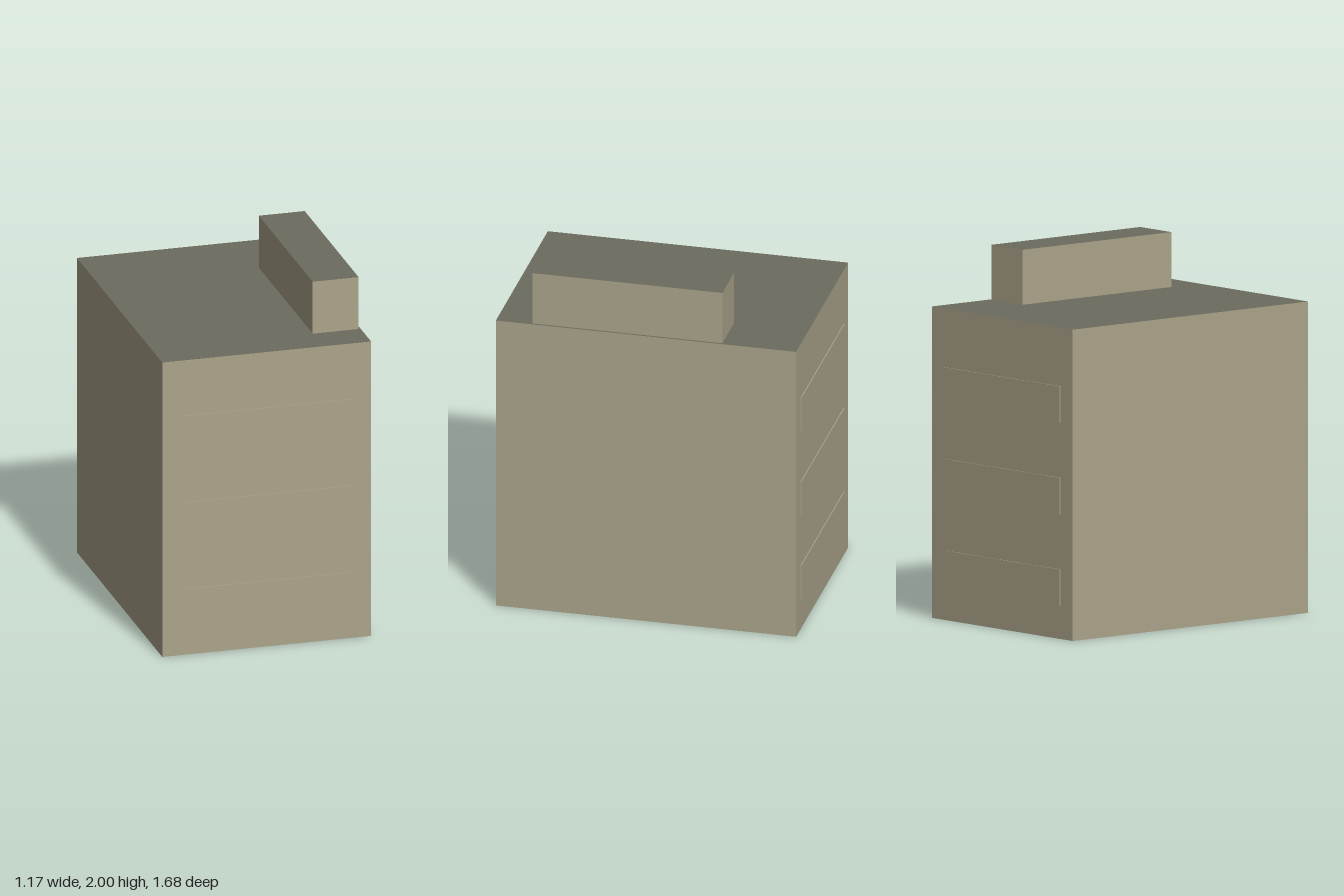
import * as THREE from 'three';

export function createModel() {
  const model = new THREE.Group();
  model.name = 'building';
  const wall = new THREE.MeshStandardMaterial({ color: 0xaca58c });
  wall.name = 'tan wall';
  const roof = new THREE.MeshStandardMaterial({ color: 0x6d6b5f });
  roof.name = 'grey roof';

  // Box from its min and max corners, with tan sides and grey top and bottom
  const block = (name, min, max, materials) => {
    const size = max.map((v, i) => v - min[i]);
    const mesh = new THREE.Mesh(new THREE.BoxGeometry(...size), materials);
    mesh.position.set(...max.map((v, i) => (v + min[i]) / 2));
    mesh.name = name;
    model.add(mesh);
  };
  const capped = [wall, wall, roof, roof, wall, wall];

  // Main block and the rooftop housing along its left edge
  block('mainBlock', [-0.587, 0, -0.836], [0.587, 1.7, 0.836], capped);
  block('roofHousing', [0.317, 1.7, -0.422], [0.575, 2, 0.634], capped);

  // Thin raised window bands on three floors, front and back
  for (const y of [0.18, 0.68, 1.18]) {
    block('frontWindowBand', [-0.485, y, 0.836], [0.485, y + 0.2, 0.841], wall);
    block('backWindowBand', [-0.485, y, -0.841], [0.485, y + 0.2, -0.836], wall);
  }
  return model;
}
